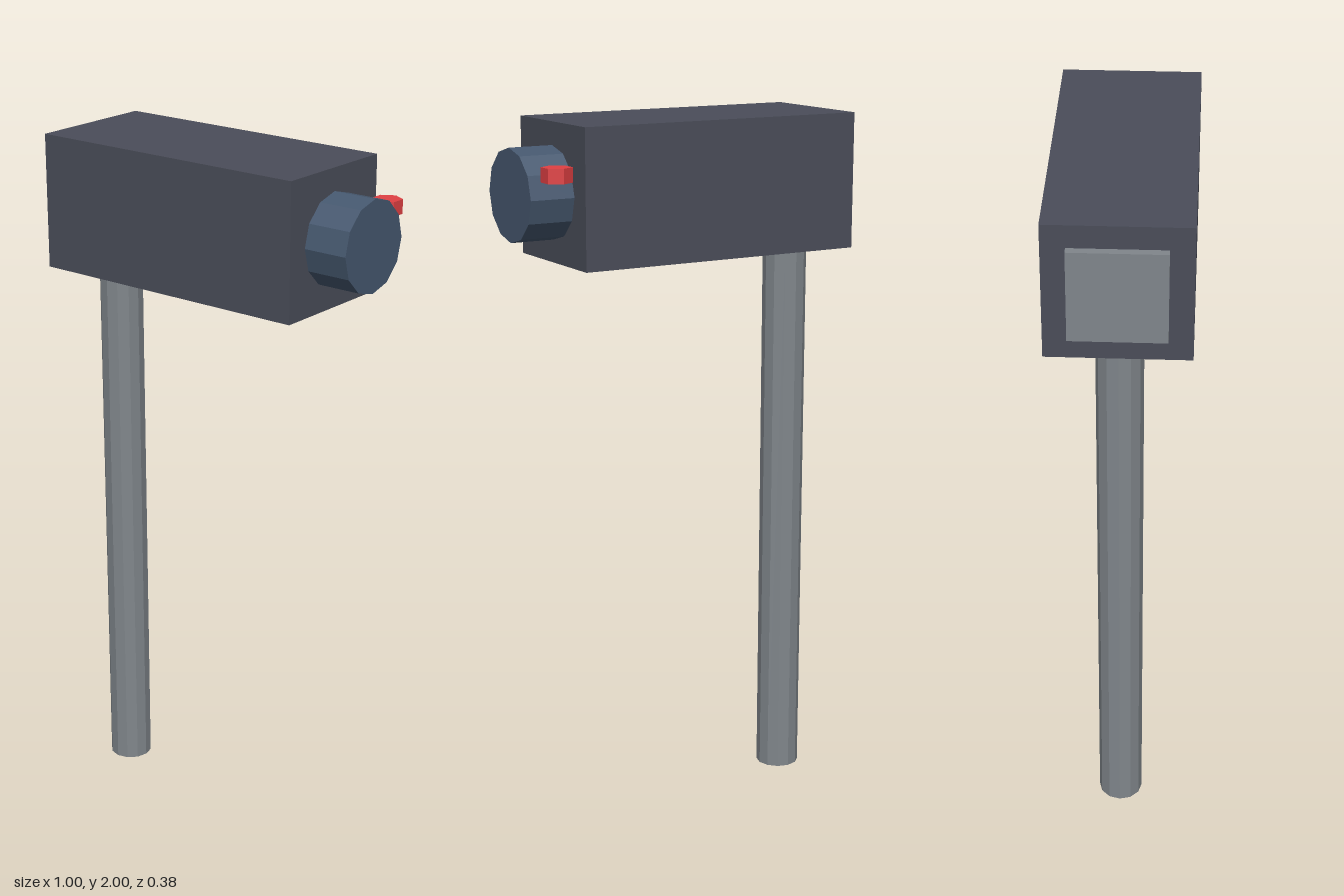
import * as THREE from 'three';

export function createModel() {
  const model = new THREE.Group();

  const add = (name, geometry, color, x, y, z) => {
    const material = new THREE.MeshStandardMaterial({ color, flatShading: true });
    const mesh = new THREE.Mesh(geometry, material);
    mesh.name = name;
    mesh.position.set(x, y, z);
    model.add(mesh);
    return mesh;
  };

  // Upright post, ending at the underside of the housing
  add('post', new THREE.CylinderGeometry(0.063, 0.063, 1.62, 12), 0x80868b, -0.376, 0.81, 0);

  // Long box housing
  add('housing', new THREE.BoxGeometry(0.85, 0.38, 0.38), 0x4a4d59, -0.053, 1.81, 0);

  // Lens barrel on the +x end, with a corner pointing straight up
  const lens = add('lens', new THREE.CylinderGeometry(0.127, 0.127, 0.13, 12), 0x46586f, 0.435, 1.81, 0);
  lens.rotation.z = -Math.PI / 2;

  // Raised panel on the -x end
  add('endPanel', new THREE.BoxGeometry(0.03, 0.254, 0.254), 0x80868b, -0.485, 1.81, 0);

  // Small six-sided indicator beside the lens
  add('indicatorLight', new THREE.CylinderGeometry(0.042, 0.042, 0.04, 6), 0xe04043, 0.435, 1.877, -0.15);

  return model;
}
